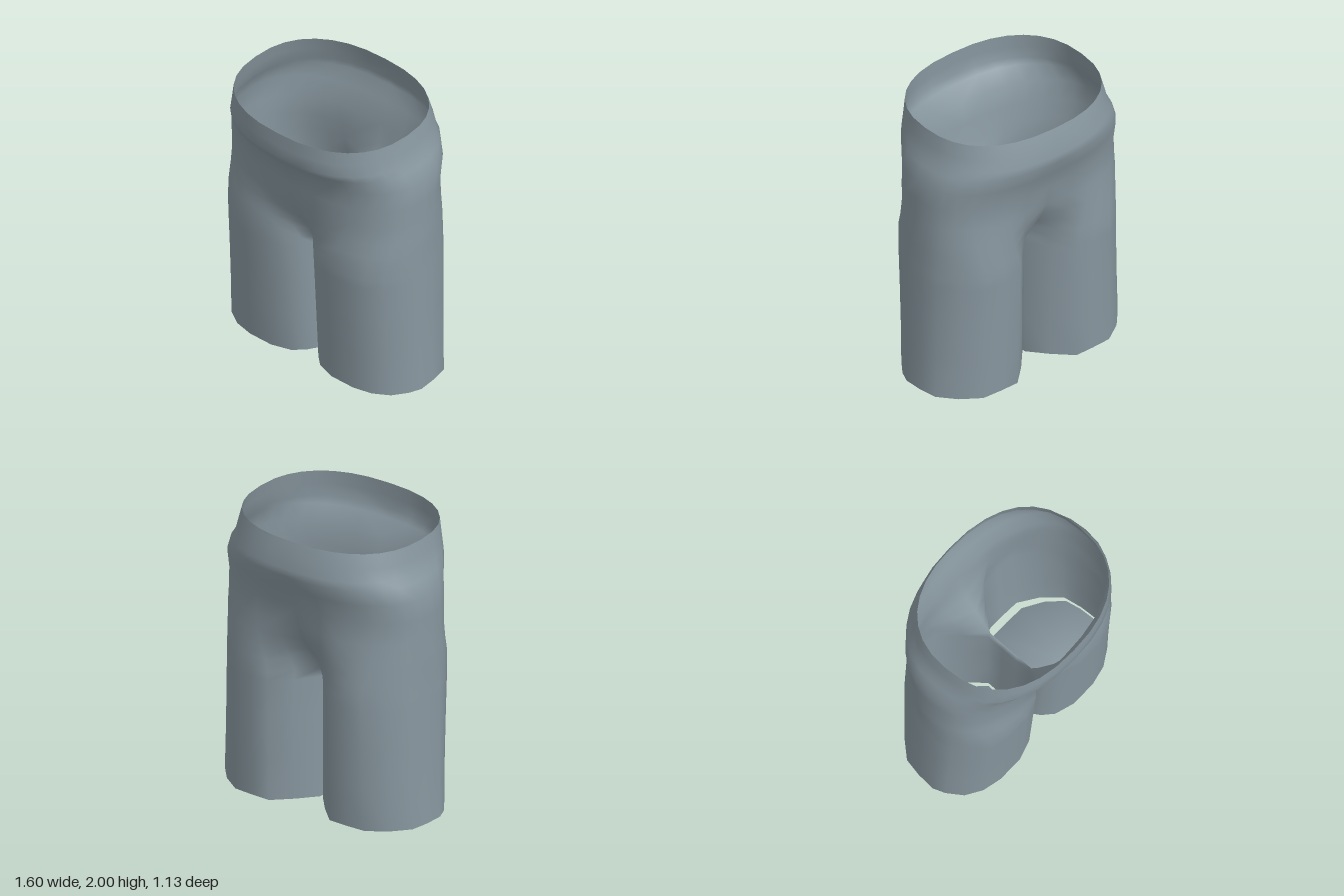
import * as THREE from 'three';
import { mergeVertices } from 'three/addons/utils/BufferGeometryUtils.js';

// Half outlines from front centre round the side to back centre, as fractions of width and depth
const legOutline = [
  [0.0125, 0.52], [0.07, 0.72], [0.16, 0.89], [0.33, 1], [0.56, 1], [0.73, 0.92], [0.87, 0.74],
  [0.96, 0.47], [1, 0.25], [0.99, -0.1], [0.96, -0.43], [0.83, -0.74], [0.66, -0.98], [0.48, -1],
  [0.31, -1], [0.15, -0.68], [0.0125, -0.35],
];
const bend = (v) => Math.sign(v) * Math.abs(v) ** 0.84;
const bodyOutline = legOutline.map((_, i, all) => {
  const t = (i / (all.length - 1)) * Math.PI;
  return [bend(Math.sin(t)) * (i % (all.length - 1) ? 1 : 0), bend(Math.cos(t))];
});

// Height, half width, front z, back z, share of leg outline
const bodyRows = [
  [2, 0.66, 0.57, -0.51, 0], [1.9, 0.68, 0.572, -0.54, 0], [1.81, 0.7, 0.57, -0.555, 0],
  [1.76, 0.73, 0.54, -0.56, 0], [1.65, 0.77, 0.465, -0.52, 0], [1.5, 0.775, 0.442, -0.475, 0.04],
  [1.35, 0.775, 0.43, -0.475, 0.14], [1.23, 0.78, 0.425, -0.475, 0.32], [1.13, 0.78, 0.425, -0.47, 0.58],
  [1.04, 0.78, 0.41, -0.462, 0.82], [0.95, 0.78, 0.395, -0.457, 1],
];
const legRows = [
  [0.95, 0.78, 0.395, -0.457, 1], [0.88, 0.782, 0.39, -0.455, 1], [0.6, 0.785, 0.37, -0.447, 1],
  [0.3, 0.79, 0.35, -0.44, 1], [0, 0.8, 0.33, -0.43, 1],
];

// Half cross-section at one height
function section([y, a, front, back, k]) {
  const mid = (front + back) / 2, depth = (front - back) / 2;
  return legOutline.map(([lx, lz], i) => {
    const [bx, bz] = bodyOutline[i];
    const end = i === 0 || i === legOutline.length - 1;
    const x = end && y >= 0.95 ? 0 : a * (bx + (lx - bx) * k);
    return [x, y, mid + depth * (bz + (lz - bz) * k)];
  });
}

// Closed leg section: the half outline plus the inner wall
function legSection(row) {
  const s = section(row), f = s[0], b = s[s.length - 1];
  const inner = [1 / 3, 2 / 3].map((t) => [f[0], f[1], b[2] + (f[2] - b[2]) * t]);
  return [...s, ...inner, f];
}

// Triangles between successive rings, on one side (1) or mirrored (-1)
function skin(rings, side) {
  const out = [];
  const put = (...points) => {
    if (side < 0) points.reverse();
    points.forEach(([x, y, z]) => out.push(x * side, y, z));
  };
  for (let r = 0; r < rings.length - 1; r++) {
    for (let j = 0; j < rings[r].length - 1; j++) {
      const a = rings[r][j], b = rings[r][j + 1], c = rings[r + 1][j], d = rings[r + 1][j + 1];
      put(a, c, b);
      put(b, c, d);
    }
  }
  return out;
}

function makeMesh(name, positions, side) {
  let geometry = new THREE.BufferGeometry();
  geometry.setAttribute('position', new THREE.Float32BufferAttribute(positions, 3));
  geometry = mergeVertices(geometry, 1e-4);
  geometry.computeVertexNormals();
  const mesh = new THREE.Mesh(geometry, new THREE.MeshStandardMaterial({ color: 0x88979f, side }));
  mesh.name = name;
  return mesh;
}

export function createModel() {
  const group = new THREE.Group();
  group.name = 'shorts';
  const body = bodyRows.map(section);
  const legs = legRows.map(legSection);

  // Waistband, hips and both legs as one continuous cloth surface
  const cloth = [1, -1].flatMap((s) => [...skin(body, s), ...skin(legs, s)]);
  group.add(makeMesh('cloth', cloth, THREE.DoubleSide));

  // Turned-in hem, wider towards the inner front, and the hollow lining inside each leg
  const hem = legs[legs.length - 1];
  const inset = hem.map(([x, , z]) => {
    const innerFront = Math.max(0, 0.3 - x) * Math.max(0, z + 0.18);
    return [0.41 + (x - 0.41) * 0.97 + innerFront * 0.5, 0, -0.06 + (z + 0.06) * 0.86];
  });
  const apex = hem.map(() => [0.37, 0.3, 0.17]);
  for (const [s, label] of [[1, 'left'], [-1, 'right']]) {
    group.add(makeMesh(label + 'Hem', skin([hem, inset], s), THREE.FrontSide));
    group.add(makeMesh(label + 'LegLining', skin([inset, apex], s), THREE.DoubleSide));
  }
  return group;
}
